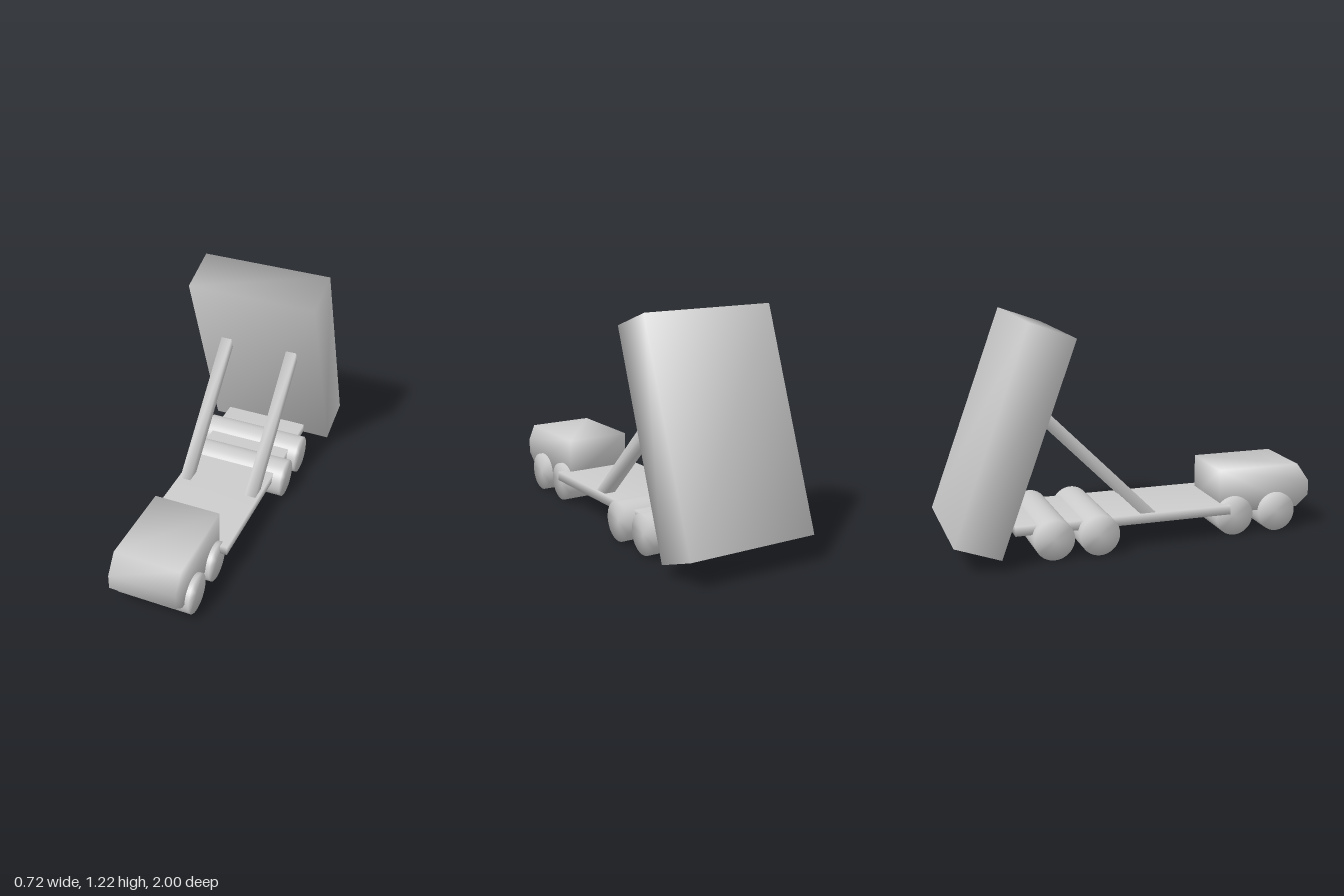
import * as THREE from 'three';
import { mergeVertices } from 'three/addons/utils/BufferGeometryUtils.js';

const material = new THREE.MeshStandardMaterial({ color: 0xcccccc });

// Shares corner vertices so the shading runs softly over every edge
function soften(geometry) {
  geometry.deleteAttribute('normal');
  geometry.deleteAttribute('uv');
  const merged = mergeVertices(geometry, 1e-4);
  merged.computeVertexNormals();
  return merged;
}

function addPart(group, name, geometry, x, y, z, tilt = 0) {
  const mesh = new THREE.Mesh(soften(geometry), material);
  mesh.name = name;
  mesh.position.set(x, y, z);
  mesh.rotation.x = tilt;
  group.add(mesh);
}

export function createModel() {
  const truck = new THREE.Group();
  truck.name = 'dumpTruck';

  // Cab: side profile (z, y) extruded across the width
  const profile = [[0.47, 0.12], [0.93, 0.12], [1, 0.18], [1, 0.26], [0.93, 0.36], [0.47, 0.36]];
  const cabShape = new THREE.Shape(profile.map(([z, y]) => new THREE.Vector2(-z, y)));
  const cab = new THREE.ExtrudeGeometry(cabShape, { depth: 0.36, bevelEnabled: false });
  cab.translate(0, 0, -0.18).rotateY(Math.PI / 2);
  addPart(truck, 'cab', cab, 0, 0, 0);

  // Flat chassis
  addPart(truck, 'chassis', new THREE.BoxGeometry(0.475, 0.05, 1.175), 0, 0.155, -0.078);

  // Full-width wheel drums: two narrow in front, two wide at the back
  const axles = [[0.8, 0.4], [0.55, 0.4], [-0.235, 0.57], [-0.475, 0.57]];
  for (const [z, width] of axles) {
    const drum = new THREE.CylinderGeometry(0.106, 0.106, width, 48).rotateZ(Math.PI / 2);
    addPart(truck, z > 0 ? 'frontWheels' : 'rearWheels', drum, 0, 0.106, z);
  }

  // Lifting arms from chassis to bed
  for (const side of [-1, 1]) {
    addPart(truck, side > 0 ? 'leftLiftArm' : 'rightLiftArm',
      new THREE.BoxGeometry(0.06, 0.88, 0.06), side * 0.194, 0.4725, -0.2475, -Math.PI / 4);
  }

  // Raised bed
  addPart(truck, 'bed', new THREE.BoxGeometry(0.72, 1.145, 0.25), 0, 0.637, -0.6825,
    THREE.MathUtils.degToRad(20));

  return truck;
}
